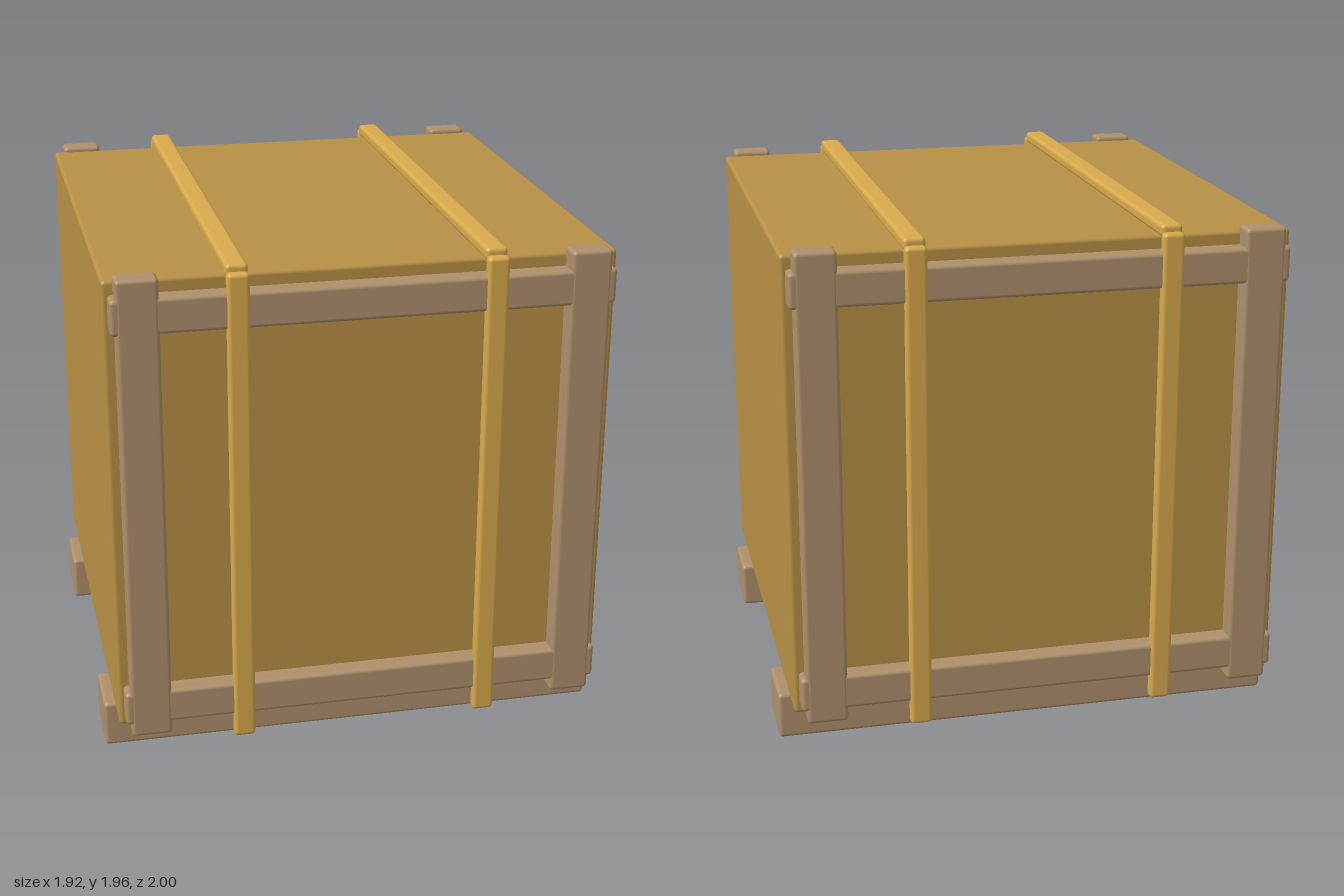
import * as THREE from 'three';
import { RoundedBoxGeometry } from 'three/addons/geometries/RoundedBoxGeometry.js';

export function createModel() {
  const crate = new THREE.Group();
  crate.name = 'crate';
  const panelMat = new THREE.MeshStandardMaterial({ color: 0xb89045 });
  const timberMat = new THREE.MeshStandardMaterial({ color: 0xae906c });
  const strapMat = new THREE.MeshStandardMaterial({ color: 0xd9aa4d });

  // Softly bevelled block given by its [min, max] range on each axis
  function block(name, material, [x0, x1], [y0, y1], [z0, z1], bevel = 0.015) {
    const geometry = new RoundedBoxGeometry(x1 - x0, y1 - y0, z1 - z0, 2, bevel);
    const mesh = new THREE.Mesh(geometry, material);
    mesh.name = name;
    mesh.position.set((x0 + x1) / 2, (y0 + y1) / 2, (z0 + z1) / 2);
    crate.add(mesh);
  }
  // Range mirrored to the chosen side of the axis
  const side = (s, a, b) => (s > 0 ? [a, b] : [-b, -a]);

  block('crateBody', panelMat, [-0.92, 0.92], [0.185, 1.91], [-0.92, 0.92]);

  for (const s of [1, -1]) {
    const face = s > 0 ? 'front' : 'back';
    // Floor skid
    block(face + 'Skid', timberMat, [-0.96, 0.96], [0, 0.18], side(s, 0.5, 0.75));
    // Frame rails
    block(face + 'LowerRail', timberMat, [-0.9, 0.9], [0.22, 0.35], side(s, 0.9, 0.989));
    block(face + 'UpperRail', timberMat, [-0.9, 0.9], [1.73, 1.86], side(s, 0.9, 0.989));
    for (const t of [1, -1]) {
      const hand = t > 0 ? 'Left' : 'Right';
      // Frame post and the strap running down the face
      block(face + hand + 'Post', timberMat, side(t, 0.73, 0.88), [0.17, 1.93], side(s, 0.9, 0.991));
      block(face + hand + 'Strap', strapMat, side(t, 0.42, 0.5), [0.13, 1.93], side(s, 0.955, 1));
    }
  }

  // Straps across the lid
  for (const t of [1, -1]) {
    block(t > 0 ? 'topLeftStrap' : 'topRightStrap', strapMat,
      side(t, 0.42, 0.5), [1.91, 1.955], [-0.965, 0.965]);
  }
  return crate;
}
